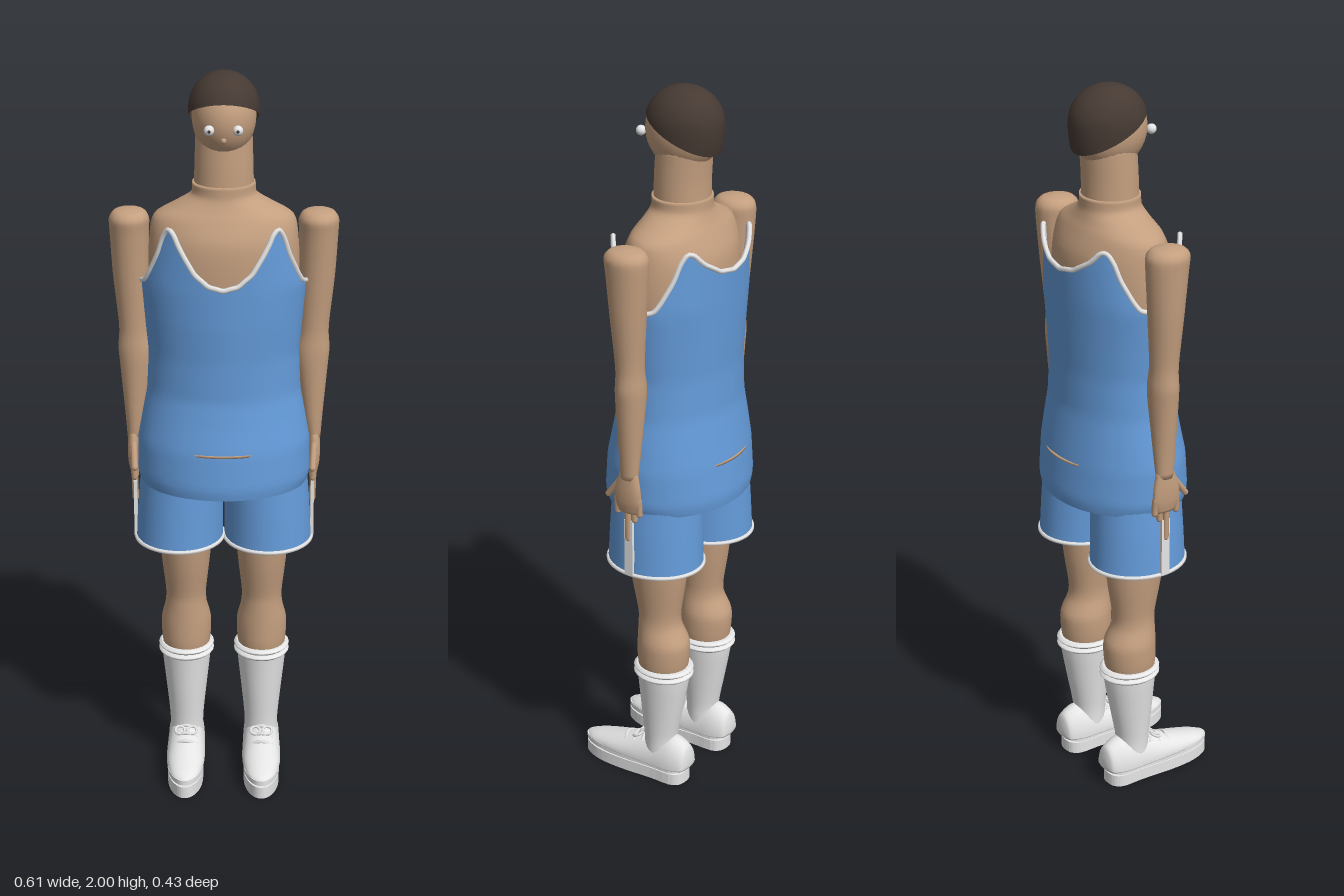
import * as THREE from 'three';

const material = (name, hex, side = THREE.FrontSide) => {
  const m = new THREE.MeshStandardMaterial({ color: hex, side });
  m.name = name;
  return m;
};
const skin = material('skin', 0xc49f7f);
const blue = material('blue cloth', 0x659cdb, THREE.DoubleSide);
const white = material('white', 0xe6e6e6);
const hairBrown = material('dark brown hair', 0x463a33, THREE.DoubleSide);

const lerp = THREE.MathUtils.lerp;
const V = (x, y, z) => new THREE.Vector3(x, y, z);

function add(parent, name, geometry, mat) {
  const mesh = new THREE.Mesh(geometry, mat);
  mesh.name = name;
  parent.add(mesh);
  return mesh;
}

// Closed surface around the y axis: point(angle, t), angle 0 = front, t runs upward
function surface(point, n, m, capped) {
  const pos = [], index = [];
  for (let i = 0; i <= m; i++)
    for (let j = 0; j < n; j++) pos.push(...point((j / n) * Math.PI * 2, i / m));
  for (let i = 0; i < m; i++)
    for (let j = 0; j < n; j++) {
      const a = i * n + j, b = i * n + ((j + 1) % n);
      index.push(a, b, b + n, a, b + n, a + n);
    }
  if (capped) for (const row of [0, m]) {
    const c = [0, 0, 0], k = pos.length / 3;
    for (let j = 0; j < n * 3; j++) c[j % 3] += pos[row * n * 3 + j] / n;
    pos.push(...c);
    for (let j = 0; j < n; j++) {
      const a = row * n + j, b = row * n + ((j + 1) % n);
      index.push(...(row ? [a, b, k] : [b, a, k]));
    }
  }
  const g = new THREE.BufferGeometry();
  g.setAttribute('position', new THREE.Float32BufferAttribute(pos, 3));
  g.setIndex(index);
  g.computeVertexNormals();
  return g;
}

// Smooth loft through stations [y, cx, cz, rx, rzFront, rzBack]
function loft(stations, { n = 24, sub = 4, capped = true } = {}) {
  const curve = (f) => new THREE.CatmullRomCurve3(stations.map(f), false, 'catmullrom', 0.4);
  const centre = curve((s) => V(s[1], s[0], s[2]));
  const radius = curve((s) => V(s[3], s[4], s[5] ?? s[4]));
  return surface((a, t) => {
    const c = centre.getPoint(t), r = radius.getPoint(t), k = Math.cos(a);
    return [c.x + r.x * Math.sin(a), c.y, c.z + k * (k > 0 ? r.y : r.z)];
  }, n, (stations.length - 1) * sub, capped);
}

function capsule(parent, name, p, q, r, mat) {
  const d = q.clone().sub(p);
  const mesh = add(parent, name, new THREE.CapsuleGeometry(r, d.length(), 4, 8), mat);
  mesh.position.copy(p).add(q).multiplyScalar(0.5);
  mesh.quaternion.setFromUnitVectors(V(0, 1, 0), d.normalize());
}

const tube = (points, r, closed) => new THREE.TubeGeometry(
  new THREE.CatmullRomCurve3(points, closed), points.length * 3, r, 6, closed);

// Piecewise linear lookup in rows [key, ...values]
function lookup(rows, key) {
  let i = 0;
  while (i < rows.length - 2 && key > rows[i + 1][0]) i++;
  const t = THREE.MathUtils.clamp((key - rows[i][0]) / (rows[i + 1][0] - rows[i][0]), 0, 1);
  return rows[i].slice(1).map((v, k) => lerp(v, rows[i + 1][k + 1], t));
}

// Vest: [y, half width, front z, back z] and the top edge height by angle
const vestProfile = [
  [0.875, 0.226, 0.15, -0.207], [0.9, 0.235, 0.154, -0.211], [1, 0.234, 0.145, -0.202],
  [1.07, 0.222, 0.13, -0.192], [1.14, 0.208, 0.118, -0.182], [1.25, 0.203, 0.12, -0.18],
  [1.35, 0.212, 0.127, -0.185], [1.45, 0.222, 0.13, -0.19], [1.62, 0.2, 0.133, -0.197]];
const vestEdge = [
  [0, 1.46], [10, 1.47], [20, 1.5], [32, 1.56], [42, 1.612], [48, 1.612], [56, 1.53], [68, 1.46],
  [90, 1.44], [112, 1.46], [124, 1.53], [132, 1.605], [138, 1.61], [150, 1.575], [165, 1.545], [180, 1.535]];

function vestPoint(a, t) {
  const deg = THREE.MathUtils.radToDeg(a);
  const y = lerp(0.875, lookup(vestEdge, deg > 180 ? 360 - deg : deg)[0], t);
  const [rx, zf, zb] = lookup(vestProfile, y);
  return [rx * Math.sin(a), y, (zf + zb) / 2 + ((zf - zb) / 2) * Math.cos(a)];
}

function makeHead() {
  const head = new THREE.Group();
  head.name = 'head';
  const skull = add(head, 'face', new THREE.SphereGeometry(1, 32, 24), skin);
  skull.scale.set(0.084, 0.108, 0.103);
  skull.position.set(0, 1.884, -0.036);
  // Hair cap, high over the forehead and low at the nape
  add(head, 'hair', surface((a, t) => {
    const low = Math.asin((1.882 + 0.052 * Math.cos(a) - 1.905) / 0.095);
    const p = lerp(low, Math.PI / 2, t);
    const r = p > 0 ? Math.cos(p) : lerp(1, Math.cos(p), 0.2);
    return [0.093 * r * Math.sin(a), 1.905 + 0.095 * Math.sin(p), -0.042 + 0.106 * r * Math.cos(a)];
  }, 36, 14), hairBrown);
  for (const s of [-1, 1]) {
    add(head, 'eye', new THREE.SphereGeometry(0.0135, 16, 12), white).position.set(s * 0.037, 1.87, 0.069);
    add(head, 'pupil', new THREE.SphereGeometry(0.005, 10, 8), hairBrown).position.set(s * 0.037, 1.87, 0.079);
  }
  add(head, 'nose', new THREE.SphereGeometry(0.008, 10, 8), skin).position.set(0, 1.84, 0.059);
  return head;
}

function makeArm(s) {
  const arm = new THREE.Group();
  arm.name = s > 0 ? 'leftArm' : 'rightArm';
  add(arm, 'armSkin', loft([
    [0.99, s * 0.245, -0.033, 0.018, 0.026], [1.06, s * 0.241, -0.033, 0.027, 0.031],
    [1.2, s * 0.237, -0.035, 0.043, 0.039], [1.25, s * 0.238, -0.036, 0.046, 0.04],
    [1.31, s * 0.241, -0.036, 0.04, 0.038], [1.45, s * 0.247, -0.036, 0.048, 0.048],
    [1.57, s * 0.25, -0.035, 0.052, 0.058], [1.61, s * 0.25, -0.033, 0.053, 0.06],
    [1.629, s * 0.25, -0.033, 0.04, 0.045], [1.636, s * 0.25, -0.033, 0.012, 0.014]], { n: 16 }), skin);
  add(arm, 'palm', loft([
    [0.89, s * 0.246, -0.03, 0.009, 0.03], [0.92, s * 0.247, -0.03, 0.014, 0.042],
    [0.96, s * 0.247, -0.03, 0.016, 0.04], [1.01, s * 0.245, -0.033, 0.016, 0.026]], { n: 14 }), skin);
  [[0.005, 0.885], [-0.028, 0.81], [-0.048, 0.87], [-0.064, 0.89]].forEach(([z, tip]) =>
    capsule(arm, 'finger', V(s * 0.246, 0.93, z), V(s * 0.243, tip, z), 0.009, skin));
  capsule(arm, 'thumb', V(s * 0.245, 0.98, -0.005), V(s * 0.241, 0.925, 0.037), 0.009, skin);
  return arm;
}

function makeShoe(s) {
  const shoe = new THREE.Group();
  shoe.name = 'shoe';
  // Footprint drawn with its toe towards -y, then laid flat
  const half = [[-0.12, 0.022], [-0.1, 0.04], [-0.03, 0.043], [0.08, 0.05], [0.15, 0.045], [0.195, 0.028], [0.213, 0.01]];
  const outline = [...half.map(([z, w]) => V(w, -z, 0)), ...half.map(([z, w]) => V(-w, -z, 0)).reverse()];
  const print = new THREE.Shape(new THREE.CatmullRomCurve3(outline, true).getPoints(48).map((p) => new THREE.Vector2(p.x, p.y)));
  [[0, 0.034, 1], [0.034, 0.006, 0.92], [0.04, 0.014, 1.02]].forEach(([y, depth, k]) => {
    const g = new THREE.ExtrudeGeometry(print, { depth, bevelEnabled: false });
    g.rotateX(-Math.PI / 2).scale(k, 1, k > 1 ? 1 : k);
    add(shoe, 'sole', g, white).position.y = y;
  });
  // Upper lofted heel to toe: low underside, high top
  const upper = loft([
    [-0.136, 0, -0.065, 0.015, 0.01, 0.02], [-0.127, 0, -0.055, 0.038, 0.012, 0.065],
    [-0.085, 0, -0.052, 0.05, 0.012, 0.088], [-0.03, 0, -0.052, 0.052, 0.012, 0.076],
    [0.04, 0, -0.052, 0.054, 0.012, 0.056], [0.11, 0, -0.052, 0.052, 0.012, 0.036],
    [0.18, 0, -0.05, 0.037, 0.01, 0.018], [0.213, 0, -0.05, 0.01, 0.005, 0.005]]);
  add(shoe, 'upper', upper.rotateX(Math.PI / 2), white);
  for (const [z, y] of [[0.005, 0.117], [0.035, 0.108], [0.065, 0.099]])
    add(shoe, 'lace', tube([V(-0.032, y - 0.013, z), V(0, y + 0.002, z + 0.008), V(0.032, y - 0.013, z)], 0.005), white);
  for (const k of [-1, 1]) {
    const bow = add(shoe, 'bowLoop', new THREE.TorusGeometry(0.013, 0.004, 6, 16), white);
    bow.position.set(k * 0.017, 0.113, 0.03);
    bow.rotation.x = -1.1;
  }
  shoe.position.x = s * 0.107;
  return shoe;
}

function makeLeg(s) {
  const leg = new THREE.Group();
  leg.name = s > 0 ? 'leftLeg' : 'rightLeg';
  const x = s * 0.106;
  add(leg, 'legSkin', loft([
    [0.33, x, -0.045, 0.06, 0.065], [0.38, x, -0.046, 0.068, 0.073], [0.44, x, -0.047, 0.069, 0.074],
    [0.49, x, -0.036, 0.058, 0.062], [0.53, x, -0.034, 0.056, 0.061], [0.62, x, -0.032, 0.066, 0.077],
    [0.72, x, -0.03, 0.075, 0.089], [0.88, x, -0.03, 0.085, 0.1]]), skin);
  add(leg, 'sock', loft([
    [0.07, x, -0.04, 0.047, 0.047], [0.13, x, -0.038, 0.047, 0.047], [0.22, x, -0.042, 0.056, 0.06],
    [0.3, x, -0.046, 0.065, 0.071], [0.35, x, -0.047, 0.07, 0.077]]), white);
  for (const y of [0.342, 0.359])
    add(leg, 'sockCuff', loft([
      [y - 0.008, x, -0.047, 0.07, 0.077], [y, x, -0.047, 0.078, 0.086], [y + 0.008, x, -0.047, 0.07, 0.077]]), white);
  // Open shorts leg with white hem and side stripe
  add(leg, 'shortsLeg', loft([
    [0.7, s * 0.122, -0.033, 0.12, 0.134], [0.8, s * 0.119, -0.033, 0.117, 0.13],
    [0.9, s * 0.114, -0.033, 0.113, 0.126]], { n: 32, capped: false }), blue);
  const hem = Array.from({ length: 24 }, (_, i) => (i / 12) * Math.PI)
    .map((a) => V(s * 0.122 + 0.12 * Math.sin(a), 0.7, -0.033 + 0.134 * Math.cos(a)));
  add(leg, 'shortsHem', tube(hem, 0.006, true), white);
  add(leg, 'sideStripe', new THREE.BoxGeometry(0.009, 0.165, 0.026), white).position.set(s * 0.243, 0.782, -0.03);
  leg.add(makeShoe(s));
  return leg;
}

export function createModel() {
  const model = new THREE.Group();
  model.name = 'athlete';
  // Chest, shoulders and neck
  add(model, 'torso', loft([
    [1.2, 0, -0.032, 0.18, 0.12], [1.45, 0, -0.032, 0.2, 0.132], [1.56, 0, -0.032, 0.197, 0.128],
    [1.62, 0, -0.033, 0.185, 0.105], [1.65, 0, -0.034, 0.135, 0.09], [1.678, 0, -0.035, 0.088, 0.08],
    [1.71, 0, -0.035, 0.083, 0.079]], { n: 40 }), skin);
  add(model, 'neck', loft([
    [1.68, 0, -0.035, 0.079, 0.075], [1.76, 0, -0.036, 0.077, 0.074], [1.85, 0, -0.042, 0.074, 0.075]]), skin);
  model.add(makeHead());
  // Vest with trimmed edge and closed underside
  add(model, 'vest', surface(vestPoint, 96, 40), blue);
  const edge = Array.from({ length: 72 }, (_, i) => V(...vestPoint((i / 36) * Math.PI, 1)));
  add(model, 'vestTrim', tube(edge, 0.007, true), white);
  add(model, 'vestUnderside', loft([[0.875, 0, -0.0285, 0.225, 0.178], [0.885, 0, -0.0285, 0.227, 0.179]], { n: 40 }), blue);
  // Thin waist slit showing at the front and back
  add(model, 'waistSlit', loft([[0.997, 0, -0.0285, 0.2, 0.177], [1.003, 0, -0.0285, 0.2, 0.177]], { n: 64, sub: 1 }), skin);
  for (const s of [1, -1]) model.add(makeArm(s), makeLeg(s));
  return model;
}
